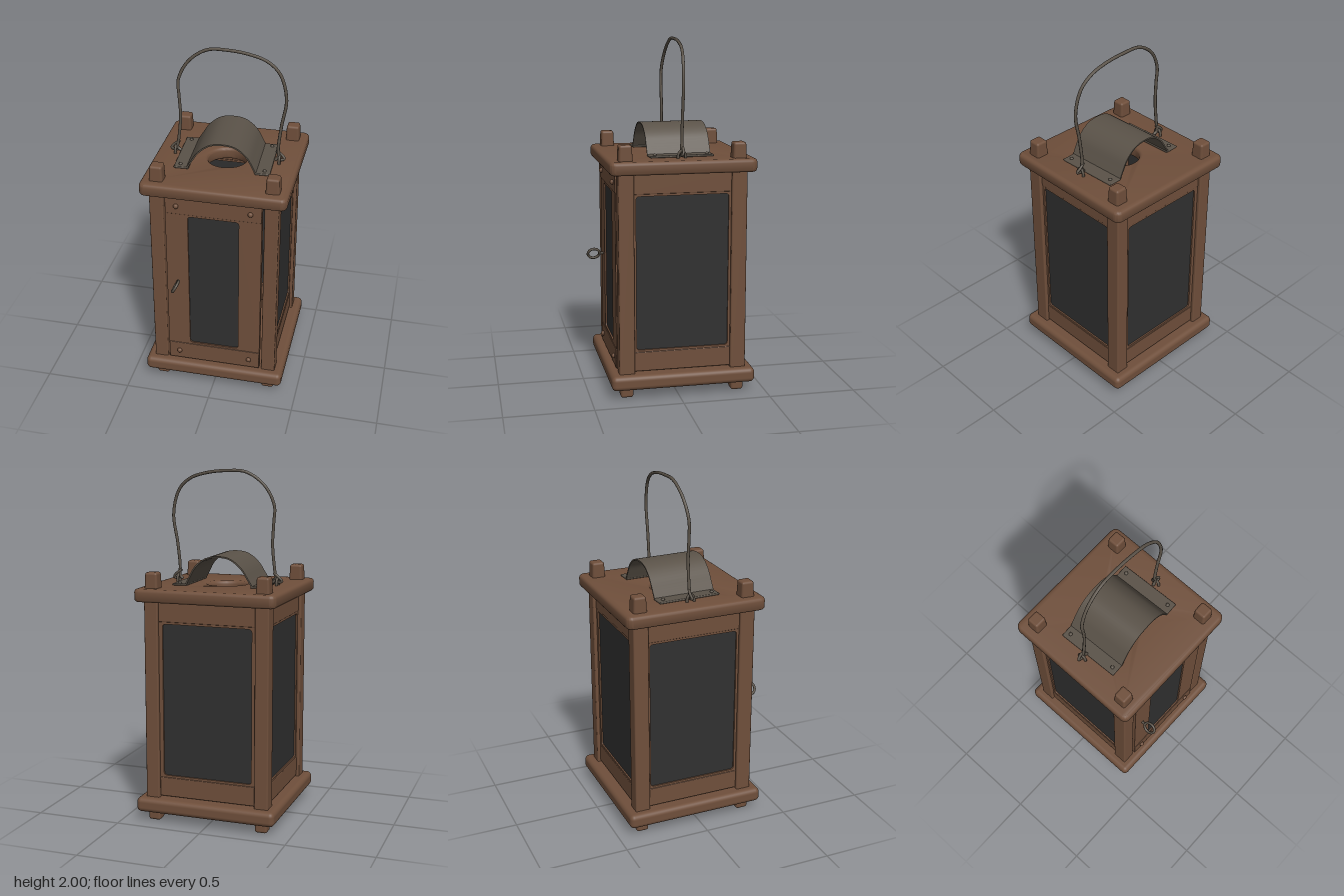
import * as THREE from 'three';
import { toCreasedNormals } from 'three/addons/utils/BufferGeometryUtils.js';
import { RoundedBoxGeometry } from 'three/addons/geometries/RoundedBoxGeometry.js';

const wood = new THREE.MeshStandardMaterial({ color: 0x6f4f3b });
wood.name = 'brownWood';
const iron = new THREE.MeshStandardMaterial({ color: 0x5a5248 });
iron.name = 'agedIron';
iron.side = THREE.DoubleSide;
const glass = new THREE.MeshStandardMaterial({ color: 0x303030 });
glass.name = 'darkGlass';

const CZ = -0.025; // centre of the wooden body in z

function add(parent, name, geometry, material, x = 0, y = 0, z = 0) {
  const mesh = new THREE.Mesh(geometry, material);
  mesh.name = name;
  mesh.position.set(x, y, z);
  parent.add(mesh);
  return mesh;
}

const block = (w, h, d, r = 0.006) => new RoundedBoxGeometry(w, h, d, 2, r);

function roundedRect(w, h, r) {
  const s = new THREE.Shape(), x = w / 2, y = h / 2;
  s.moveTo(-x + r, -y);
  s.lineTo(x - r, -y).quadraticCurveTo(x, -y, x, -y + r);
  s.lineTo(x, y - r).quadraticCurveTo(x, y, x - r, y);
  s.lineTo(-x + r, y).quadraticCurveTo(-x, y, -x, y - r);
  s.lineTo(-x, -y + r).quadraticCurveTo(-x, -y, -x + r, -y);
  return s;
}

// Framed pane facing +z with its outer surface at local z = 0
function framedPanel(name, width, glassWidth) {
  const g = new THREE.Group();
  g.name = name;
  const low = 0.15, high = 1.275, railH = 0.112, t = 0.04;
  const midH = high - low - 2 * railH, midY = (low + high) / 2;
  for (const y of [low + railH / 2, high - railH / 2])
    add(g, 'rail', block(width, railH, t, 0.004), wood, 0, y, -t / 2);

  // Upright surround with a rounded opening
  const surround = new THREE.Shape();
  surround.moveTo(-width / 2, -midH / 2);
  surround.lineTo(width / 2, -midH / 2);
  surround.lineTo(width / 2, midH / 2);
  surround.lineTo(-width / 2, midH / 2);
  surround.closePath();
  surround.holes.push(roundedRect(glassWidth, midH - 0.024, 0.02));
  add(g, 'stiles', new THREE.ExtrudeGeometry(surround, { depth: t - 0.003, bevelEnabled: false }),
    wood, 0, midY, -t);
  add(g, 'pane', new THREE.ExtrudeGeometry(roundedRect(glassWidth + 0.01, midH - 0.014, 0.02),
    { depth: 0.008, bevelEnabled: false }), glass, 0, midY, -0.02);
  return g;
}

function tube(points, radius, segments = 64) {
  const curve = new THREE.CatmullRomCurve3(points.map(p => new THREE.Vector3(...p)));
  return new THREE.TubeGeometry(curve, segments, radius, 8);
}

export function createModel() {
  const model = new THREE.Group();
  model.name = 'lantern';

  // Base board and top board with its smoke hole
  add(model, 'baseBoard', new RoundedBoxGeometry(0.825, 0.085, 0.825, 4, 0.028), wood, 0, 0.1, CZ);
  const top = roundedRect(0.785, 0.785, 0.02);
  const hole = new THREE.Path();
  hole.absarc(0, 0, 0.13, 0, Math.PI * 2, true);
  top.holes.push(hole);
  const topGeo = new THREE.ExtrudeGeometry(top, {
    depth: 0.034, bevelThickness: 0.02, bevelSize: 0.02, bevelSegments: 4, curveSegments: 24,
  });
  topGeo.rotateX(-Math.PI / 2);
  add(model, 'topBoard', toCreasedNormals(topGeo, 0.6), wood, 0, 1.296, CZ);

  // Corner posts with tapered tenons above and feet below
  for (const x of [-0.325, 0.325]) {
    for (const z of [-0.345, 0.295]) {
      add(model, 'cornerPost', block(0.08, 1.18, 0.088, 0.008), wood, x, 0.71, z);
      const tenon = block(0.08, 0.12, 0.08, 0.014);
      const p = tenon.attributes.position;
      for (let i = 0; i < p.count; i++) {
        const k = p.getY(i) > 0 ? 0.9 : 1;
        p.setX(i, p.getX(i) * k);
        p.setZ(i, p.getZ(i) * k);
      }
      add(model, 'topTenon', tenon, wood, x, 1.378, z);
      add(model, 'foot', block(0.072, 0.1, 0.072, 0.014), wood, x * 0.99, 0.05, z);
    }
  }

  // Three fixed walls
  const wall = (name, x, z, turn) => {
    const p = framedPanel(name, 0.57, 0.525);
    p.position.set(x, 0, z);
    p.rotation.y = turn;
    model.add(p);
  };
  wall('rightWall', -0.348, CZ, -Math.PI / 2);
  wall('leftWall', 0.348, CZ, Math.PI / 2);
  wall('backWall', 0, -0.372, Math.PI);

  // Front door with studs and a pull ring
  const door = framedPanel('door', 0.547, 0.29);
  door.position.z = 0.345;
  for (const x of [-0.21, 0.21])
    for (const y of [0.205, 1.215]) {
      const stud = add(door, 'doorStud', new THREE.SphereGeometry(0.015, 12, 8), iron, x, y, 0.003);
      stud.scale.z = 0.9;
      stud.material = wood;
    }
  const ring = add(door, 'pullRing', new THREE.TorusGeometry(0.035, 0.008, 8, 24), iron, -0.21, 0.71, 0.055);
  ring.rotation.set(0, Math.PI / 2, -0.5, 'ZYX');
  const pin = add(door, 'ringPin', new THREE.CylinderGeometry(0.008, 0.008, 0.03, 8), iron, -0.21, 0.71, 0.01);
  pin.rotation.x = Math.PI / 2;
  model.add(door);

  // Bent sheet hood over the smoke hole
  const hood = new THREE.Group();
  hood.name = 'hood';
  hood.position.set(-0.003, 0, -0.028);
  hood.rotation.y = 0.04;
  const arch = new THREE.CatmullRomCurve3([
    [-0.2, 1.36], [-0.175, 1.4], [-0.135, 1.46], [-0.07, 1.51], [0, 1.522],
    [0.075, 1.51], [0.14, 1.46], [0.175, 1.4], [0.195, 1.36],
  ].map(([x, y]) => new THREE.Vector3(x, y, 0))).getPoints(32);
  const t = 0.008;
  const sheet = new THREE.Shape();
  arch.forEach((p, i) => (i ? sheet.lineTo(p.x, p.y) : sheet.moveTo(p.x, p.y)));
  for (let i = arch.length - 1; i >= 0; i--) {
    const a = arch[Math.max(i - 1, 0)], b = arch[Math.min(i + 1, arch.length - 1)];
    const d = b.clone().sub(a).normalize();
    sheet.lineTo(arch[i].x + d.y * t, arch[i].y - d.x * t);
  }
  const sheetGeo = new THREE.ExtrudeGeometry(sheet, { depth: 0.365, bevelEnabled: false });
  sheetGeo.translate(0, 0, -0.1825);
  add(hood, 'archSheet', toCreasedNormals(sheetGeo, 0.7), iron);
  for (const s of [-1, 1]) {
    add(hood, 'flange', new RoundedBoxGeometry(0.085, 0.012, 0.365, 2, 0.005), iron, s * 0.229, 1.356, 0);
    for (const z of [-0.15, 0.15])
      add(hood, 'hoodNail', new THREE.SphereGeometry(0.011, 10, 8), iron, s * 0.238, 1.361, z);
  }
  model.add(hood);

  // Wire handle, hooked through a staple at each side
  add(model, 'wireHandle', tube([
    [-0.27, 1.365, -0.025], [-0.292, 1.38, -0.028], [-0.285, 1.44, -0.03], [-0.272, 1.58, -0.03],
    [-0.277, 1.7, -0.028], [-0.28, 1.8, -0.03], [-0.225, 1.91, -0.04], [-0.12, 1.983, -0.048],
    [0, 1.99, -0.05], [0.12, 1.977, -0.047], [0.22, 1.945, -0.043], [0.29, 1.88, -0.036],
    [0.328, 1.74, -0.03], [0.305, 1.58, -0.03], [0.29, 1.44, -0.03], [0.292, 1.385, -0.028],
    [0.275, 1.365, -0.025],
  ], 0.009, 120), iron);
  for (const x of [-0.302, 0.3]) {
    add(model, 'handleStaple', tube([
      [x, 1.34, -0.05], [x, 1.375, -0.046], [x, 1.392, -0.028], [x, 1.375, -0.01], [x, 1.34, -0.006],
    ], 0.008, 20), iron);
    add(model, 'handleHook', tube([
      [x * 0.93, 1.42, -0.03], [x * 1.02, 1.4, -0.035], [x * 1.09, 1.375, -0.03], [x, 1.365, -0.026],
    ], 0.008, 16), iron);
  }

  return model;
}
